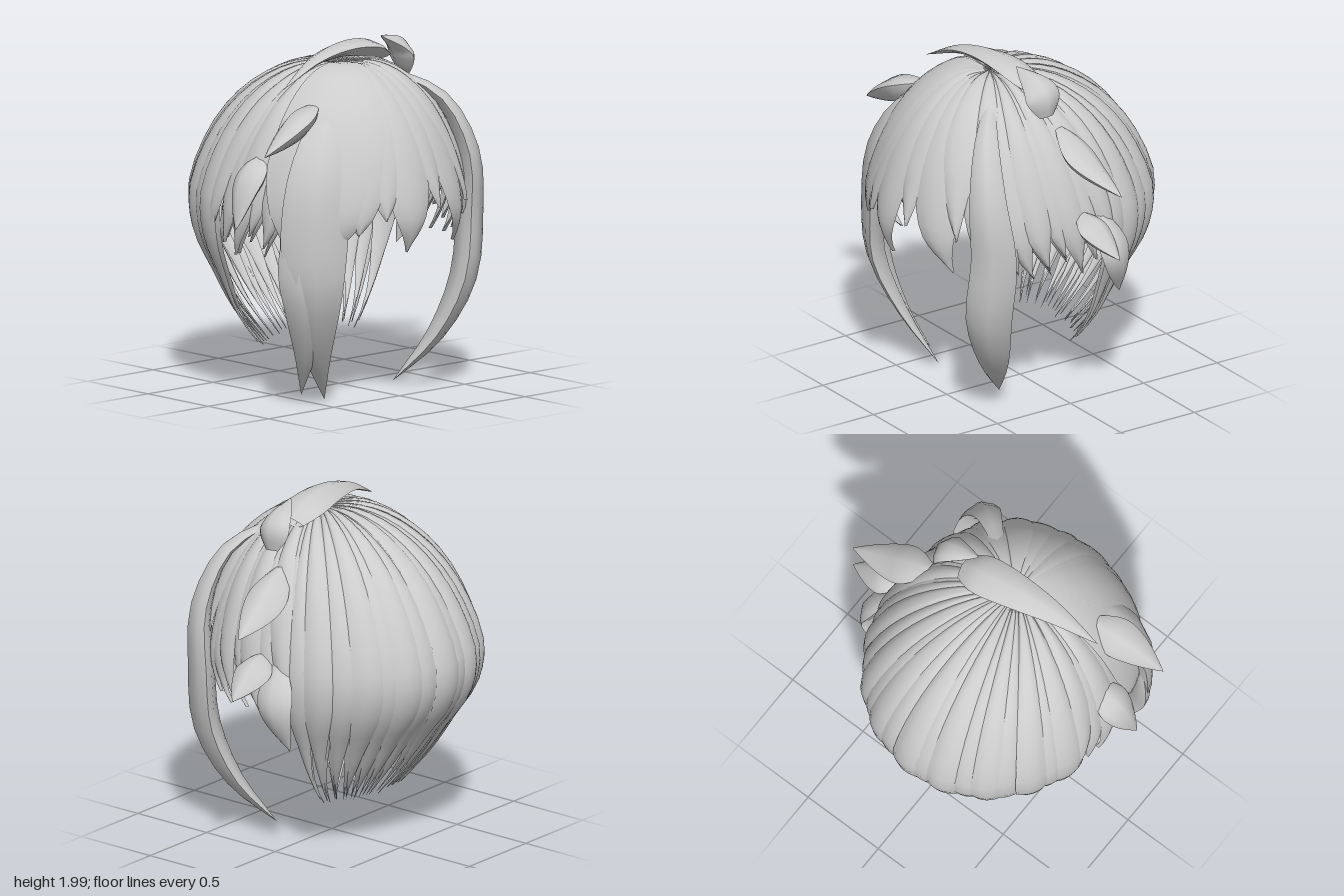
import * as THREE from 'three';
import { toCreasedNormals } from 'three/addons/utils/BufferGeometryUtils.js';

const material = new THREE.MeshStandardMaterial({ color: 0xcccccc, side: THREE.DoubleSide });
const V = (a) => new THREE.Vector3(...a);

// Head profile: relative radius and height, crown to nape
const profile = new THREE.CatmullRomCurve3([
  [0.04, 1.88], [0.21, 1.885], [0.43, 1.825], [0.68, 1.665], [0.88, 1.42], [1, 1.1],
  [0.94, 0.9], [0.71, 0.68], [0.5, 0.48], [0.2, 0.25],
].map(([r, y]) => new THREE.Vector3(r, y, 0)));

// Curve parameter at which the profile reaches a given height
function paramAt(y) {
  let lo = 0, hi = 1;
  for (let i = 0; i < 24; i++) {
    const mid = (lo + hi) / 2;
    if (profile.getPoint(mid).y > y) lo = mid; else hi = mid;
  }
  return hi;
}

// Point on the head; angle 0 is the front, scale pushes it in or out
function headPoint(u, angle, scale) {
  const p = profile.getPoint(u);
  const f = Math.max(p.x, 0.01);
  const upper = p.y > 1.1;
  const fx = Math.pow(f, upper ? 0.9 : 0.43);
  const shift = (upper ? 0.15 : -0.14) * (1 - f);
  return [
    -0.085 + 0.745 * fx * Math.sin(angle) * scale,
    1 + (p.y - 1) * (p.y > 1 ? Math.min(scale, 1) : 1),
    shift + 0.83 * f * Math.cos(angle) * scale,
  ];
}

// Grid of points to an indexed geometry
function gridGeometry(rows, cols, pointAt) {
  const pos = [], index = [];
  for (let i = 0; i <= rows; i++) {
    for (let j = 0; j <= cols; j++) pos.push(...pointAt(i / rows, j / cols));
  }
  for (let i = 0; i < rows; i++) {
    for (let j = 0; j < cols; j++) {
      const a = i * (cols + 1) + j, b = a + cols + 1;
      index.push(a, b, a + 1, b, b + 1, a + 1);
    }
  }
  const geo = new THREE.BufferGeometry();
  geo.setAttribute('position', new THREE.Float32BufferAttribute(pos, 3));
  geo.setIndex(index);
  geo.computeVertexNormals();
  return geo;
}

function addMesh(group, name, geo) {
  const mesh = new THREE.Mesh(geo, material);
  mesh.name = name;
  group.add(mesh);
}

// Curved strand lying on the head, ending in a point
function strand(group, name, { from, to = from, half, tip, layer = 0.97, taper = 0.6, bulge = 0.03 }) {
  const end = paramAt(tip);
  addMesh(group, name, gridGeometry(24, 6, (s, t) => {
    const v = t * 2 - 1;
    const k = Math.max(0, (s - taper) / (1 - taper));
    const width = half * (1 - Math.pow(k, 1.3));
    const centre = from + (to - from) * s * s;
    return headPoint(s * end, centre + v * width, layer + bulge * (1 - v * v));
  }));
}

// Free lock: lens cross-section swept along a path, thin at the tip
function lock(group, name, { path, across, half, thick, start = 0.3, peak = 0.4, fall = 1.6 }) {
  const curve = new THREE.CatmullRomCurve3(path.map(V));
  const side = V(across).normalize();
  const geo = gridGeometry(18, 8, (s, t) => {
    const p = curve.getPoint(s);
    const tangent = curve.getTangent(s);
    const n = new THREE.Vector3().crossVectors(tangent, side).normalize();
    const b = new THREE.Vector3().crossVectors(n, tangent);
    const size = s < peak
      ? start + (1 - start) * Math.sin((s / peak) * Math.PI / 2)
      : 1 - Math.pow((s - peak) / (1 - peak), fall);
    const a = t * Math.PI * 2;
    const h = Math.sin(a) * Math.abs(Math.sin(a));
    p.addScaledVector(b, Math.cos(a) * half * size);
    p.addScaledVector(n, h * thick * size);
    return [p.x, p.y, p.z];
  });
  addMesh(group, name, toCreasedNormals(geo, 0.9));
}

export function createModel() {
  const model = new THREE.Group();
  model.name = 'hair';
  const section = (name) => {
    const g = new THREE.Group();
    g.name = name;
    model.add(g);
    return g;
  };
  let seed = 7;
  const rand = () => (seed = (seed * 16807) % 2147483647) / 2147483647;

  // Back hair: an outer and an inner layer of strands with uneven widths
  const back = section('backHair');
  const first = 1.8, span = 2 * Math.PI - 2 * first;
  [[16, 0.97, 0.025], [17, 0.945, 0.02]].forEach(([count, base, bulge], inner) => {
    for (let i = 0; i < count; i++) {
      const edge = i === 0 || i === count - 1;
      strand(back, inner ? 'innerBackStrand' : 'backStrand', {
        from: first + span * (i + 0.5 + (edge ? 0 : rand() * 0.4 - 0.2)) / count,
        half: (0.6 + rand() * 0.2) * span / count,
        tip: 0.25 + rand() * 0.05, layer: base + (i % 2) * 0.016, taper: 0.66, bulge,
      });
    }
  });

  // Short strands over the ears, sweeping backwards
  const sides = section('sideHair');
  for (const m of [-1, 1]) {
    for (let i = 0; i < 7; i++) {
      const a = 0.95 + i * 0.135;
      strand(sides, 'sideStrand', {
        from: m * a, to: m * (a + 0.2), half: 0.14,
        tip: 0.84 + (i % 3) * 0.06, layer: 0.955 + (i % 2) * 0.016, taper: 0.66,
      });
      strand(sides, 'innerSideStrand', {
        from: m * a, to: m * (a + 0.36), half: 0.09,
        tip: 0.84 + (i % 2) * 0.08, layer: 0.91, taper: 0.6,
      });
    }
  }

  // Fringe: broad smooth locks, then narrow ones towards the left
  const fringe = section('fringe');
  [
    [-0.16, -0.12, 0.27, 0.88, 0.975], [0.28, 0.53, 0.25, 0.88, 0.97],
    [0.06, 0.16, 0.28, 1.12, 0.967], [-0.36, -0.36, 0.36, 1.08, 0.98],
    [-0.55, -0.57, 0.36, 1.0, 0.995], [-0.72, -0.76, 0.38, 0.88, 1.01],
    [-0.92, -0.98, 0.36, 0.76, 1.01],
    [0.5, 0.62, 0.2, 1.1, 0.985], [0.66, 0.78, 0.15, 1.0, 0.965],
    [0.8, 0.9, 0.13, 0.92, 0.99], [0.96, 1.04, 0.13, 0.88, 0.965],
  ].forEach(([from, to, half, tip, layer]) =>
    strand(fringe, 'fringeLock', { from, to, half, tip, layer, taper: 0.62, bulge: 0.025 }));

  // Long locks framing the face
  const long = section('longLocks');
  lock(long, 'leftLongLock', {
    path: [[0.12, 1.83, 0.28], [0.35, 1.66, 0.47], [0.48, 1.35, 0.55], [0.51, 1.0, 0.53],
      [0.46, 0.63, 0.53], [0.35, 0.3, 0.42], [0.17, 0.03, 0.26]],
    across: [0.62, 0, -0.78], half: 0.135, thick: 0.08, start: 0.15, peak: 0.62, fall: 1.7,
  });
  lock(long, 'rightLongLock', {
    path: [[-0.32, 1.76, 0.3], [-0.52, 1.58, 0.45], [-0.65, 1.3, 0.52], [-0.68, 0.95, 0.53],
      [-0.66, 0.65, 0.53], [-0.55, 0.3, 0.42], [-0.38, 0, 0.29]],
    across: [0.7, 0, 0.6], half: 0.19, thick: 0.07, start: 0.15, peak: 0.5, fall: 1.3,
  });
  lock(long, 'rightLongLockFork', {
    path: [[-0.71, 1.2, 0.47], [-0.74, 0.9, 0.46], [-0.7, 0.6, 0.46], [-0.61, 0.3, 0.38], [-0.52, 0.04, 0.25]],
    across: [0.7, 0, 0.6], half: 0.12, thick: 0.06, peak: 0.4, fall: 1.3,
  });

  // Loose flicks standing off the sides
  const flicks = section('flicks');
  [
    ['rightUpperFlick', [[-0.48, 1.69, 0.32], [-0.7, 1.59, 0.37], [-0.94, 1.47, 0.4]], [0.1, 0.35, 1], 0.115, 0.075],
    ['rightLowerFlick', [[-0.68, 1.42, 0.12], [-0.83, 1.25, 0.13], [-0.94, 1.02, 0.16]], [0, 0, 1], 0.11, 0.07],
    ['leftUpperFlick', [[0.42, 1.66, 0.02], [0.64, 1.5, -0.02], [0.91, 1.39, -0.07]], [0, 0.3, 1], 0.12, 0.07],
    ['leftLowerFlick', [[0.6, 1.2, 0], [0.75, 1.11, -0.02], [0.93, 1.02, -0.04]], [0, 0.2, 1], 0.11, 0.07],
    ['leftEarFlick', [[0.61, 1.18, -0.12], [0.71, 0.94, -0.17], [0.65, 0.69, -0.23]], [0.2, 0, 1], 0.11, 0.05],
  ].forEach(([name, path, across, half, thick]) => lock(flicks, name, { path, across, half, thick }));

  // Crossing lock and small leaf-shaped lock on the crown
  lock(model, 'crownLock', {
    path: [[0.24, 1.87, 0.09], [0.12, 1.92, 0.1], [-0.1, 1.945, 0.13], [-0.35, 1.91, 0.17], [-0.62, 1.79, 0.21]],
    across: [0, 0.15, 1], half: 0.12, thick: 0.05, start: 0.6, peak: 0.3,
  });
  lock(model, 'crownLeaf', {
    path: [[0.41, 1.75, 0.1], [0.36, 1.89, 0.11], [0.18, 1.99, 0.15]],
    across: [0, -0.2, 1], half: 0.11, thick: 0.06, start: 0.4,
  });
  return model;
}
